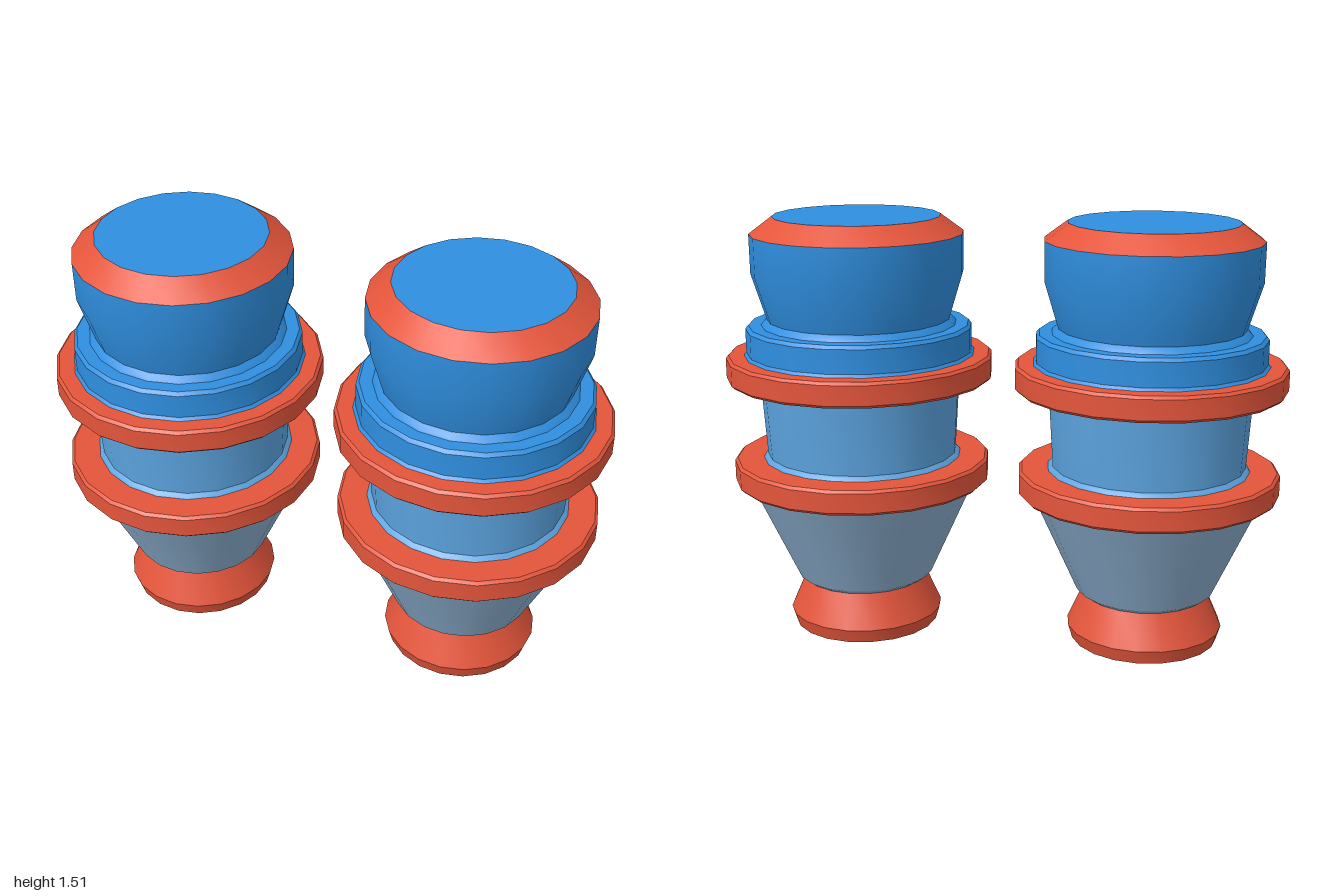
import * as THREE from 'three';
import { toCreasedNormals } from 'three/addons/utils/BufferGeometryUtils.js';

const SIDES = 20;

const mat = (name, color) => {
  const m = new THREE.MeshStandardMaterial({ color });
  m.name = name;
  return m;
};

// Turned part from [radius, height] points, smooth around and sharp at edges
function turned(name, material, profile) {
  const pts = profile.map(([r, y]) => new THREE.Vector2(r, y));
  const mesh = new THREE.Mesh(toCreasedNormals(new THREE.LatheGeometry(pts, SIDES), 0.5), material);
  mesh.name = name;
  return mesh;
}

// Flat collar ring with small bevels on its outer rim
function ring(name, material, inner, radius, y0, y1) {
  const b = 0.01;
  return turned(name, material, [
    [inner, y0], [radius - b, y0], [radius, y0 + b],
    [radius, y1 - b], [radius - b, y1], [inner, y1],
  ]);
}

function createCanister(name, mats) {
  const { red, blue, midBlue, greyBlue } = mats;
  const g = new THREE.Group();
  g.name = name;
  g.add(
    // hollow flared foot
    turned('nozzle', red, [
      [0, 0.32], [0.2, 0.32], [0.215, 0], [0.265, 0], [0.28, 0.05], [0.225, 0.175],
    ]),
    turned('lowerCone', greyBlue, [
      [0.2, 0.17], [0.225, 0.172], [0.25, 0.19], [0.415, 0.555],
    ]),
    ring('lowerRing', red, 0.3, 0.463, 0.55, 0.64),
    turned('middleBody', midBlue, [
      [0.36, 0.638], [0.355, 0.645], [0.343, 0.655], [0.36, 0.935],
    ]),
    ring('upperRing', red, 0.3, 0.4775, 0.93, 1.02),
    turned('collar', blue, [
      [0.415, 1.018], [0.404, 1.03], [0.404, 1.115], [0.393, 1.127], [0.32, 1.127],
    ]),
    turned('head', blue, [
      [0.35, 1.125], [0.343, 1.135], [0.328, 1.148], [0.377, 1.31], [0.378, 1.45],
    ]),
    turned('headBevel', red, [[0.378, 1.45], [0.297, 1.51]]),
    turned('topDisc', blue, [[0.297, 1.51], [0, 1.51]]),
  );
  return g;
}

export function createModel() {
  const mats = {
    red: mat('red', 0xe4553b),
    blue: mat('blue', 0x2f8fe0),
    midBlue: mat('mid blue', 0x5ca4e0),
    greyBlue: mat('grey blue', 0x8cafcf),
  };
  const model = new THREE.Group();
  model.name = 'canisterPair';
  for (const [name, side] of [['leftCanister', 1], ['rightCanister', -1]]) {
    const c = createCanister(name, mats);
    c.position.x = side * 0.5225;
    model.add(c);
  }
  return model;
}
